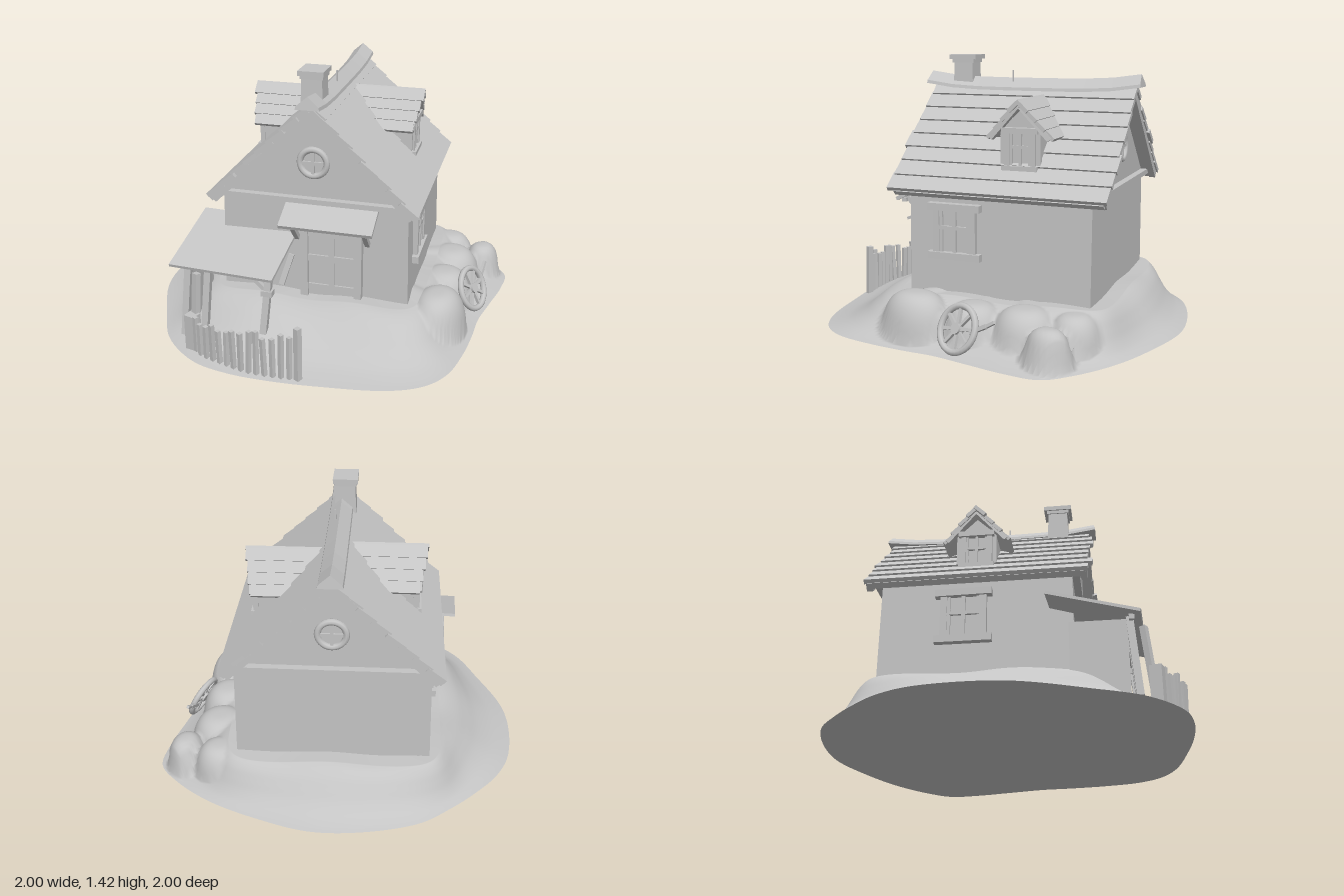
import * as THREE from 'three';

const clay = new THREE.MeshStandardMaterial({ color: 0xc4c4c4 });
clay.name = 'pale grey clay';

let seed = 7;
const rnd = (a) => ((seed = (seed * 16807) % 2147483647) / 2147483647 - 0.5) * 2 * a;

function add(parent, name, geo, x = 0, y = 0, z = 0, rx = 0, ry = 0, rz = 0) {
  const m = new THREE.Mesh(geo, clay);
  m.name = name;
  m.position.set(x, y, z);
  m.rotation.set(rx, ry, rz);
  parent.add(m);
  return m;
}
const box = (w, h, d) => new THREE.BoxGeometry(w, h, d);
function group(parent, name, x = 0, y = 0, z = 0, ry = 0) {
  const g = new THREE.Group();
  g.name = name;
  g.position.set(x, y, z);
  g.rotation.y = ry;
  parent.add(g);
  return g;
}
// Straight bar between two points
function bar(parent, name, a, b, w, d = w) {
  const p = new THREE.Vector3(...a), q = new THREE.Vector3(...b);
  const m = add(parent, name, box(w, p.distanceTo(q), d));
  m.position.copy(p).add(q).multiplyScalar(0.5);
  m.quaternion.setFromUnitVectors(new THREE.Vector3(0, 1, 0), q.sub(p).normalize());
}
// Gabled prism along z, from z0 to z1
function gable(w0, w1, y0, y1, peak, z0, z1) {
  const s = new THREE.Shape([[-w0, y0], [w0, y0], [w1, y1], [0, peak], [-w1, y1]].map((p) => new THREE.Vector2(...p)));
  return new THREE.ExtrudeGeometry(s, { depth: z1 - z0, bevelEnabled: false }).translate(0, 0, z0);
}

// Window facing +z, with its frame, cross bars, lintel and sill
function squareWindow(parent, x, y, z, w, h, t, over) {
  const g = group(parent, 'window', x, y, z);
  add(g, 'pane', box(w, h, 0.008), 0, 0, 0.004);
  for (const s of [-1, 1]) {
    add(g, 'jamb', box(t, h, 0.03), s * (w - t) / 2, 0, 0.012);
    add(g, s > 0 ? 'lintel' : 'sill', box(w + over, t * 1.1, 0.045), 0, s * (h + t) / 2, 0.016, 0, 0, rnd(0.02));
    add(g, 'sash', box(t * 0.5, h, 0.02), s * (w / 2 - t * 1.25), 0, 0.01);
  }
  add(g, 'mullion', box(t * 0.55, h, 0.024), 0, 0, 0.012);
  add(g, 'crossbar', box(w, t * 0.55, 0.022), 0, h * 0.08, 0.011);
}
function roundWindow(parent, y) {
  const g = group(parent, 'roundWindow', 0, y, 0.01);
  add(g, 'rim', new THREE.TorusGeometry(0.071, 0.017, 8, 28));
  add(g, 'pane', new THREE.CircleGeometry(0.07, 28));
  add(g, 'mullion', box(0.016, 0.14, 0.02));
  add(g, 'crossbar', box(0.14, 0.016, 0.02));
}

// Boulders swelling out of the mound: x, z, radii along and across, top height
const boulders = [[0.09, 0.71, 0.205, 0.155, 0.25], [0.36, 0.55, 0.17, 0.16, 0.225], [0.6, 0.42, 0.18, 0.17, 0.23],
  [0.79, 0.27, 0.14, 0.15, 0.215], [0.83, 0.48, 0.125, 0.105, 0.195]];
function boulderHeight(x, z) {
  let h = 0;
  for (const [bx, bz, a, b, top] of boulders) {
    const u = ((x - bx) * 0.955 - (z - bz) * 0.295) / a, v = ((x - bx) * 0.295 + (z - bz) * 0.955) / b;
    h = Math.max(h, top * Math.max(0, 1 - (u * u + v * v) ** 1.6) ** 0.5);
  }
  return h;
}

function buildMound(root) {
  const outline = [[0, -1], [-0.2, -0.98], [-0.55, -0.8], [-0.8, -0.5], [-0.95, -0.27], [-1, 0], [-0.95, 0.2],
    [-0.85, 0.4], [-0.72, 0.6], [-0.5, 0.88], [-0.35, 0.98], [-0.2, 1], [0, 0.95], [0.2, 0.87], [0.35, 0.8],
    [0.55, 0.74], [0.75, 0.68], [0.91, 0.6], [0.97, 0.45], [1, 0.2], [0.97, -0.1], [0.9, -0.38], [0.75, -0.62],
    [0.55, -0.82], [0.38, -0.9], [0.2, -0.96]];
  const n = 240, rows = 36;
  const pts = new THREE.CatmullRomCurve3(outline.map(([x, z]) => new THREE.Vector3(x, 0, z)), true).getSpacedPoints(n).slice(0, n);
  const centre = new THREE.Vector3(0.11, 0, -0.045);
  // Blend from the outline to a ring hugging the house, then close on top
  const slope = new THREE.SplineCurve([[0, 0], [0.12, 0.012], [0.28, 0.035], [0.45, 0.075], [0.6, 0.125], [0.74, 0.17], [0.88, 0.2], [1, 0.215]]
    .map((p) => new THREE.Vector2(...p)));
  const rings = slope.getPoints(rows);
  rings.push(new THREE.Vector2(2, 0.22));
  const pos = [], idx = [];
  rings.forEach(({ x: s, y }, j) => pts.forEach((p, i) => {
    const d = p.clone().sub(centre);
    const l = d.clone().applyAxisAngle(new THREE.Vector3(0, 1, 0), -0.506);
    const k = Math.min(0.88, 0.57 / Math.pow(Math.abs(l.x) ** 8 + Math.abs(l.z) ** 8, 1 / 8));
    const f = s > 1 ? 0 : 1 + (k - 1) * s;
    const x = centre.x + d.x * f, z = centre.z + d.z * f;
    const wave = 1 + 0.04 * Math.sin(i * 2 * Math.PI / n * 7 + s * 3);
    pos.push(x, Math.max(y * wave, boulderHeight(x, z) * Math.min(1, s * 9)), z);
    if (j < rings.length - 1) {
      const a = j * n + i, b = j * n + (i + 1) % n;
      idx.push(a, b, b + n, a, b + n, a + n);
    }
  }));
  const geo = new THREE.BufferGeometry();
  geo.setAttribute('position', new THREE.Float32BufferAttribute(pos, 3));
  geo.setIndex(idx);
  geo.computeVertexNormals();
  add(root, 'mound', geo);
  const base = new THREE.ShapeGeometry(new THREE.Shape(pts.map((p) => new THREE.Vector2(p.x, p.z))));
  add(root, 'moundBase', base.rotateX(Math.PI / 2));
}

function buildRoof(house) {
  const eave = 0.745, peak = 1.265, half = 0.545, A = Math.atan2(peak - eave, half), len = Math.hypot(half, peak - eave);
  const rows = 8, step = len / rows;
  for (const s of [1, -1]) {
    const side = group(house, 'roofSide', 0, 0, 0, s > 0 ? 0 : Math.PI);
    const mid = len / 2;
    add(side, 'roofDeck', box(1.12, 0.03, len), 0, peak - 0.02 - mid * Math.sin(A), mid * Math.cos(A), A);
    // Overlapping plank courses with uneven ends
    for (let i = 0; i < rows; i++) {
      const t = (i + 0.5) * step;
      add(side, 'roofPlank', box(1.16 + rnd(0.02), 0.024, step + 0.02), rnd(0.012),
        peak + 0.003 - t * Math.sin(A), t * Math.cos(A), A - 0.1, rnd(0.006), 0);
    }
    for (const e of [-1, 1])
      bar(side, 'bargeboard', [e * 0.55, peak - 0.025, 0], [e * 0.55, eave - 0.015, half - 0.015], 0.035, 0.05);

    // Dormer
    const d = group(side, 'dormer', s > 0 ? 0.09 : -0.015);
    add(d, 'dormerWalls', gable(0.1, 0.1, 0.8, 1.07, 1.165, 0.1, 0.405));
    squareWindow(d, 0, 0.965, 0.405, 0.165, 0.165, 0.026, 0.025);
    for (const e of [-1, 1]) {
      for (let i = 0; i < 4; i++) {
        const t = (i + 0.5) * 0.042, front = 0.465 - i * 0.012 + rnd(0.006), back = 0.07 + i * 0.03;
        add(d, 'dormerPlank', box(0.078, 0.02, front - back), e * t, 1.208 - t * 1.1, (front + back) / 2, 0, 0, -e * 0.76);
      }
      bar(d, 'dormerBargeboard', [0, 1.188, 0.44], [e * 0.155, 1.02, 0.425], 0.025, 0.025);
      bar(d, 'dormerPost', [e * 0.095, 0.87, 0.41], [e * 0.095, 1.06, 0.41], 0.022);
    }
  }
  // Sagging ridge cap with raised ends
  for (let i = 0; i < 8; i++) {
    const y = (k) => 1.268 + 0.03 * Math.abs(k / 4 - 1) ** 4, x = (k) => -0.6 + k * 0.15;
    const m = add(house, 'ridgeCap', gable(0.062, 0.058, -0.035, -0.018, 0.032, -0.077, 0.077), (x(i) + x(i + 1)) / 2, (y(i) + y(i + 1)) / 2, 0);
    m.rotation.set(0, Math.PI / 2, Math.atan2(y(i + 1) - y(i), 0.15), 'ZYX');
  }
  bar(house, 'ridgeSpike', [-0.106, 1.25, 0.02], [-0.106, 1.34, 0.02], 0.008);

  const c = group(house, 'chimney', -0.395, 0, -0.02);
  const shaft = new THREE.CylinderGeometry(0.075, 0.085, 0.24, 4).rotateY(Math.PI / 4).toNonIndexed();
  shaft.computeVertexNormals();
  add(c, 'chimneyShaft', shaft, 0, 1.28, 0);
  add(c, 'chimneyCollar', box(0.125, 0.02, 0.12), 0, 1.387, 0);
  add(c, 'chimneyCap', box(0.155, 0.025, 0.135), 0, 1.409, 0);
}

function buildHouse(root) {
  const house = group(root, 'house', 0.11, 0, -0.045, 0.506);
  add(house, 'walls', gable(0.51, 0.495, 0.1, 0.75, 1.235, -0.49, 0.49).rotateY(Math.PI / 2));
  buildRoof(house);
  squareWindow(house, -0.232, 0.54, 0.5, 0.235, 0.22, 0.034, 0.055);
  squareWindow(group(house, 'backWall', 0, 0, 0, Math.PI), -0.06, 0.54, 0.5, 0.235, 0.22, 0.034, 0.055);

  const plainEnd = group(house, 'plainGable', 0.49, 0, 0, Math.PI / 2);
  const doorEnd = group(house, 'doorGable', -0.49, 0, 0, -Math.PI / 2);
  for (const end of [plainEnd, doorEnd]) {
    roundWindow(end, 0.955);
    add(end, 'tieBeam', box(1.0, 0.028, 0.045), 0, 0.75, 0.015);
  }

  // Door under a braced canopy
  const door = group(doorEnd, 'door', 0.1, 0, 0);
  add(door, 'doorLeaf', box(0.25, 0.42, 0.025), 0, 0.42, 0.01);
  for (const s of [-1, 1]) {
    add(door, 'doorPost', box(0.04, 0.46, 0.05), s * 0.145, 0.42, 0.02);
    bar(door, 'canopyBrace', [s * 0.19, 0.53, 0.01], [s * 0.19, 0.665, 0.13], 0.025);
  }
  for (const y of [0.26, 0.43, 0.57]) add(door, 'doorRail', box(0.25, 0.035, 0.02), 0, y, 0.022);
  add(door, 'doorStile', box(0.03, 0.38, 0.02), 0, 0.43, 0.022);
  add(door, 'doorLintel', box(0.35, 0.035, 0.055), 0, 0.655, 0.02);
  add(door, 'canopyBeam', box(0.44, 0.022, 0.025), 0, 0.645, 0.135);
  add(door, 'canopyRoof', box(0.49, 0.02, 0.2), 0, 0.695, 0.08, 0.44, 0, 0);
  bar(doorEnd, 'leaningPlank', [-0.17, 0.26, 0.05], [-0.12, 0.43, 0.02], 0.03, 0.014);

  // Lean-to shed
  const shed = group(house, 'shed');
  add(shed, 'shedRoof', box(0.47, 0.016, 0.57), -0.605, 0.505, -0.39, 0, -0.06, 0.29);
  add(shed, 'shedBackWall', box(0.28, 0.4, 0.02), -0.61, 0.23, -0.6);
  bar(shed, 'shedBeam', [-0.77, 0.43, -0.64], [-0.77, 0.43, -0.14], 0.026);
  for (const [z, y] of [[-0.61, 0.03], [-0.5, 0.03], [-0.17, 0.1]])
    bar(shed, 'shedPost', [-0.79, y, z - 0.02], [-0.76, 0.44, z + 0.01], 0.035);
  bar(shed, 'shedBrace', [-0.765, 0.33, -0.17], [-0.765, 0.43, -0.27], 0.022);
  add(shed, 'postBlock', box(0.045, 0.03, 0.06), -0.77, 0.33, -0.17);
}

function buildYard(root) {
  // Curved picket fence
  const path = new THREE.CatmullRomCurve3([[-0.925, -0.1], [-0.94, 0], [-0.915, 0.13], [-0.88, 0.26], [-0.82, 0.38], [-0.745, 0.5]]
    .map(([x, z]) => new THREE.Vector3(x, 0, z)));
  const fence = group(root, 'fence');
  const n = 15;
  for (let i = 1; i <= n; i++) {
    const p = path.getPointAt(i / n), h = 0.19 + 0.06 * i / n + rnd(0.02);
    bar(fence, 'picket', [p.x, 0.005, p.z], [p.x + rnd(0.008), i === n ? 0.29 : h, p.z + rnd(0.008)], i === n ? 0.03 : 0.022);
  }
  add(fence, 'fenceEndPost', box(0.06, 0.2, 0.06), -0.92, 0.105, -0.1, 0, 0.2, 0);
  bar(fence, 'leaningPost', [-0.91, 0.02, -0.1], [-0.87, 0.42, -0.11], 0.03, 0.035);

  // Leaning cart wheel
  const wheel = group(root, 'cartWheel', 0.425, 0.134, 0.7);
  wheel.rotation.set(-0.42, 0.12, 0);
  add(wheel, 'wheelRim', new THREE.TorusGeometry(0.113, 0.017, 8, 32));
  add(wheel, 'wheelHub', new THREE.CylinderGeometry(0.028, 0.028, 0.04, 14).rotateX(Math.PI / 2));
  for (let i = 0; i < 8; i++) {
    const a = i * Math.PI / 4 + 0.2, c = Math.cos(a), s = Math.sin(a);
    bar(wheel, 'spoke', [c * 0.02, s * 0.02, 0], [c * 0.11, s * 0.11, 0], 0.016);
  }
  bar(root, 'cartHandle', [0.5, 0.13, 0.68], [0.59, 0.18, 0.65], 0.02);
  bar(root, 'cartHandleTip', [0.585, 0.175, 0.652], [0.63, 0.205, 0.635], 0.016);
}

export function createModel() {
  const root = new THREE.Group();
  root.name = 'cottage';
  buildMound(root);
  buildHouse(root);
  buildYard(root);
  return root;
}
